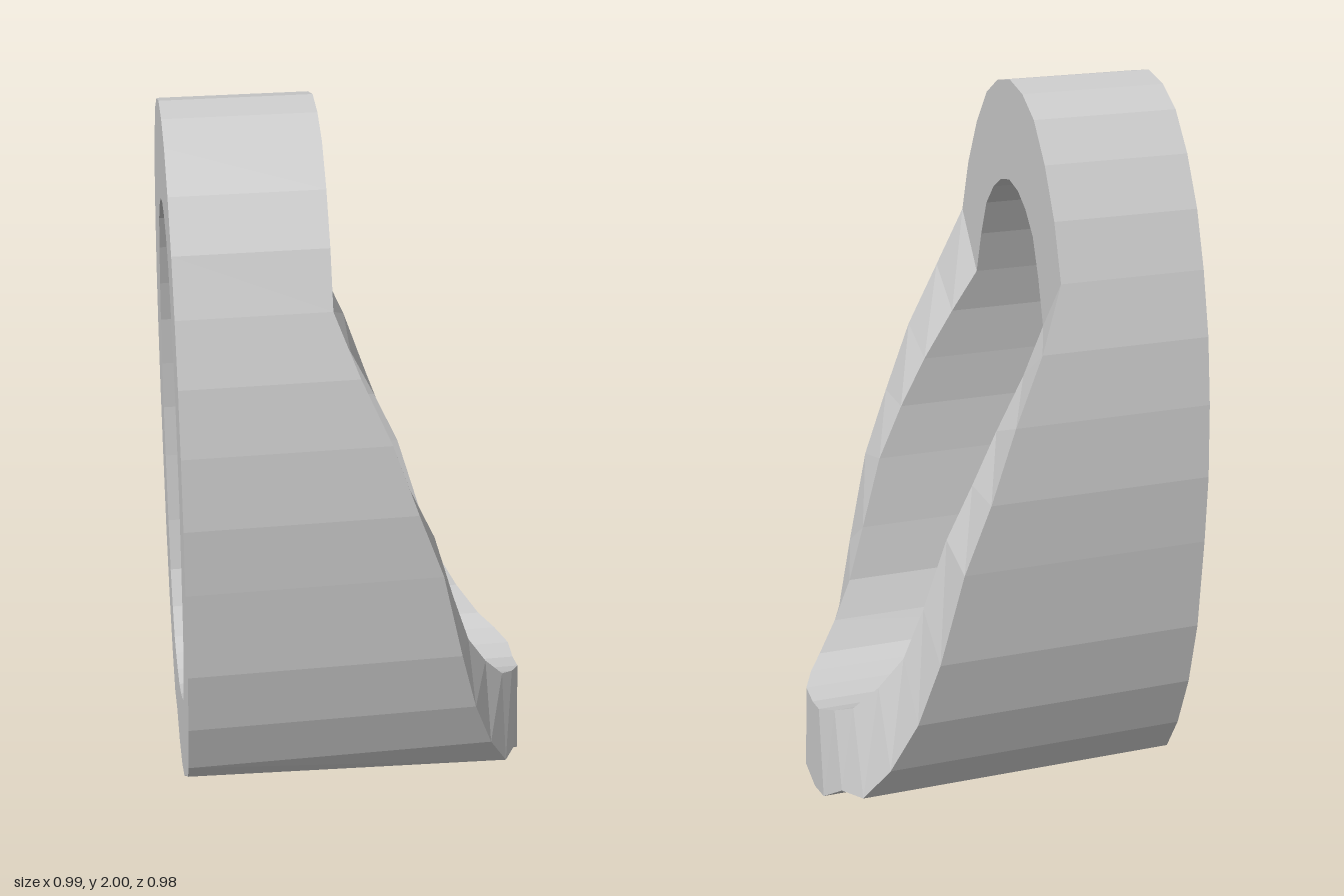
import * as THREE from 'three';

// Half profile from top to bottom: [outer z, outer y, inner z, inner y, x of the cut end]
const PROFILE = [
  [0, 2, 0, 1.73, -0.095], [0.1, 1.98, 0.07, 1.715, -0.095], [0.19, 1.93, 0.13, 1.68, -0.095],
  [0.275, 1.83, 0.19, 1.62, -0.095], [0.35, 1.7, 0.235, 1.52, -0.095], [0.405, 1.55, 0.275, 1.4, -0.095],
  [0.45, 1.38, 0.305, 1.28, -0.03], [0.475, 1.2, 0.32, 1.14, 0.05], [0.485, 1, 0.328, 1, 0.12],
  [0.475, 0.81, 0.32, 0.85, 0.19], [0.45, 0.55, 0.3, 0.65, 0.25], [0.405, 0.36, 0.275, 0.5, 0.3],
  [0.34, 0.2, 0.23, 0.4, 0.36], [0.27, 0.09, 0.182, 0.325, 0.42], [0.19, 0.08, 0.13, 0.3, 0.46],
  [0.1, 0.02, 0.07, 0.28, 0.49], [0, 0, 0, 0.27, 0.49],
];
const BACK = -0.495;

// The ring leans slightly in z along its length
const point = (x, y, z) => [x, y, z - 0.007 - 0.024 * x];

// Four corners of the wall at one step round the ring
function section([oz, oy, iz, iy, x], side, i) {
  const lift = side > 0 && i === 13 ? 0.05 : 0; // groove fades towards the far end
  return [
    point(BACK, oy + lift, side * (oz + lift * 0.4)),
    point(x, oy, side * oz),
    point(x, iy, side * iz),
    point(BACK, iy, side * iz),
  ];
}

export function createModel() {
  const last = PROFILE.length - 1;
  const sections = PROFILE.map((p, i) => section(p, 1, i));
  for (let i = last - 1; i > 0; i--) sections.push(section(PROFILE[i], -1, i));

  // Join neighbouring sections: outside, cut end, inside and flat end
  const positions = [];
  sections.forEach((s, i) => {
    const t = sections[(i + 1) % sections.length];
    for (let k = 0; k < 4; k++) {
      const n = (k + 1) % 4;
      for (const v of [s[k], t[k], t[n], s[k], t[n], s[n]]) positions.push(...v);
    }
  });
  const geometry = new THREE.BufferGeometry();
  geometry.setAttribute('position', new THREE.Float32BufferAttribute(positions, 3));
  geometry.computeVertexNormals();

  const ring = new THREE.Mesh(
    geometry,
    new THREE.MeshStandardMaterial({ color: 0xcccccc, flatShading: true })
  );
  ring.name = 'ovalRing';
  const model = new THREE.Group();
  model.name = 'slopedOvalRing';
  model.add(ring);
  return model;
}
